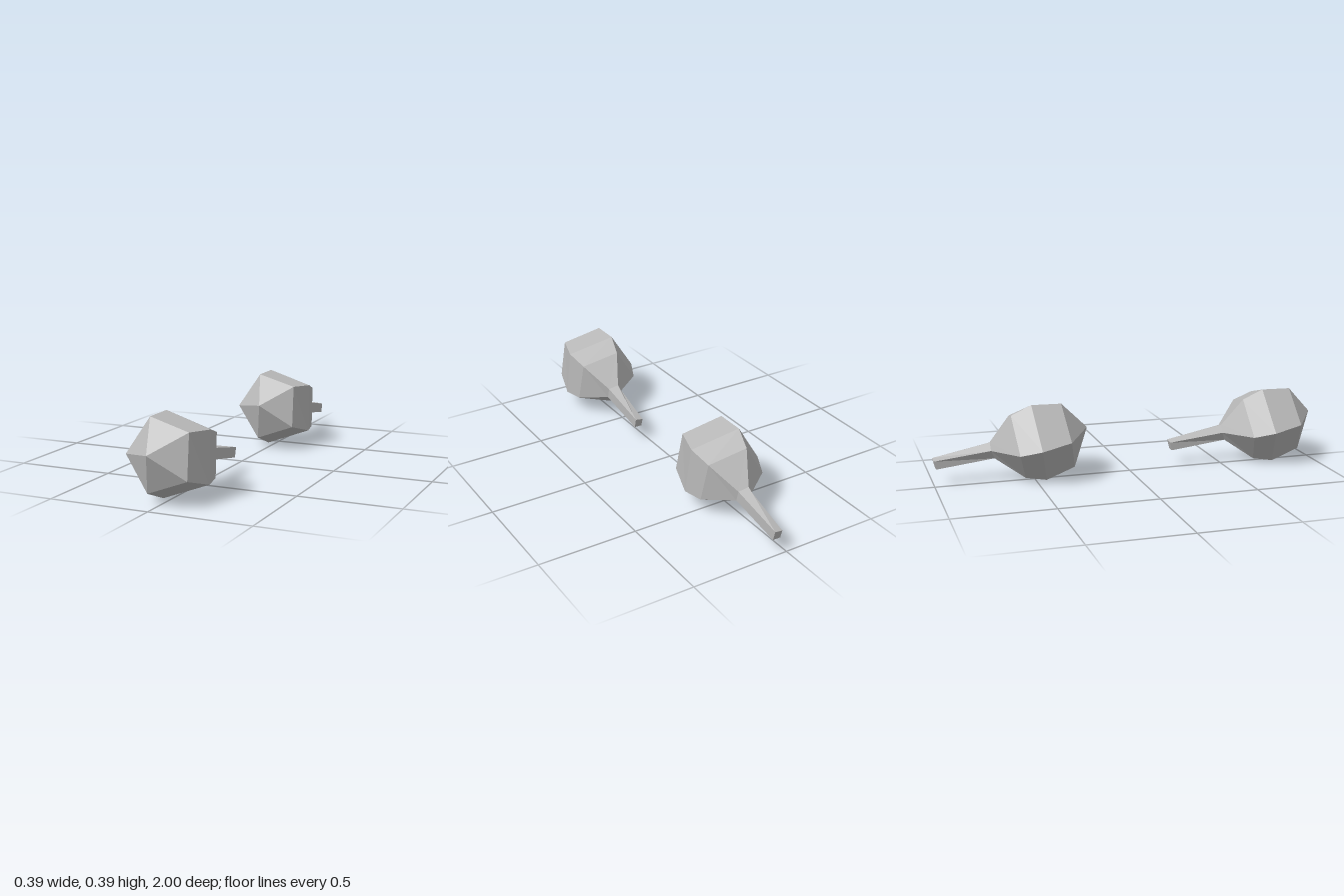
import * as THREE from 'three';

// Five-sided rings from nose to handle end: top, left, bottom, lower right, upper right
const RINGS = [
  [[-0.06, 0.395, 0.855], [-0.173, 0.22, 0.88], [-0.042, 0.06, 0.925], [0.155, 0.135, 0.922], [0.145, 0.345, 0.88]],
  [[-0.058, 0.397, 0.705], [-0.193, 0.19, 0.73], [-0.04, 0.003, 0.78], [0.193, 0.092, 0.78], [0.182, 0.335, 0.745]],
  [[-0.035, 0.345, 0.607], [-0.15, 0.165, 0.628], [-0.03, 0.02, 0.675], [0.173, 0.095, 0.675], [0.16, 0.3, 0.633]],
  [[0.018, 0.203, 0.508], [-0.003, 0.165, 0.51], [0.02, 0.12, 0.53], [0.07, 0.135, 0.53], [0.07, 0.19, 0.515]],
  [[0.07, 0.133, 0.227], [0.028, 0.125, 0.23], [0.03, 0.083, 0.24], [0.07, 0.083, 0.24], [0.07, 0.133, 0.227]],
];
const NOSE = [-0.003, 0.252, 1];

// Skin consecutive rings with quads
function skin(rings, nose, closeEnd) {
  const pos = [];
  const tri = (...pts) => pts.forEach((p) => pos.push(...p));
  for (let k = 0; k < 5; k++) {
    const n = (k + 1) % 5;
    if (nose) tri(nose, rings[0][k], rings[0][n]);
    for (let i = 0; i < rings.length - 1; i++) {
      const a = rings[i][k], b = rings[i][n], c = rings[i + 1][n], d = rings[i + 1][k];
      tri(a, d, b);
      tri(b, d, c);
    }
  }
  if (closeEnd) {
    const e = rings[rings.length - 1];
    tri(e[0], e[2], e[1]);
    tri(e[0], e[3], e[2]);
  }
  const geo = new THREE.BufferGeometry();
  geo.setAttribute('position', new THREE.Float32BufferAttribute(pos, 3));
  geo.computeVertexNormals();
  return geo;
}

export function createModel() {
  const model = new THREE.Group();
  const grey = new THREE.MeshStandardMaterial({ color: 0xb8b8b8 });
  grey.name = 'grey';

  const bulbGeo = skin(RINGS.slice(0, 4), NOSE, false);
  const handleGeo = skin(RINGS.slice(3), null, true);

  // Two identical bulbs with handles, one behind the other
  ['front', 'rear'].forEach((side, i) => {
    const unit = new THREE.Group();
    unit.name = `${side}Unit`;
    const bulb = new THREE.Mesh(bulbGeo, grey);
    bulb.name = 'bulb';
    const handle = new THREE.Mesh(handleGeo, grey);
    handle.name = 'handle';
    unit.add(bulb, handle);
    unit.position.set(0, -0.003, -1.227 * i);
    model.add(unit);
  });
  return model;
}
